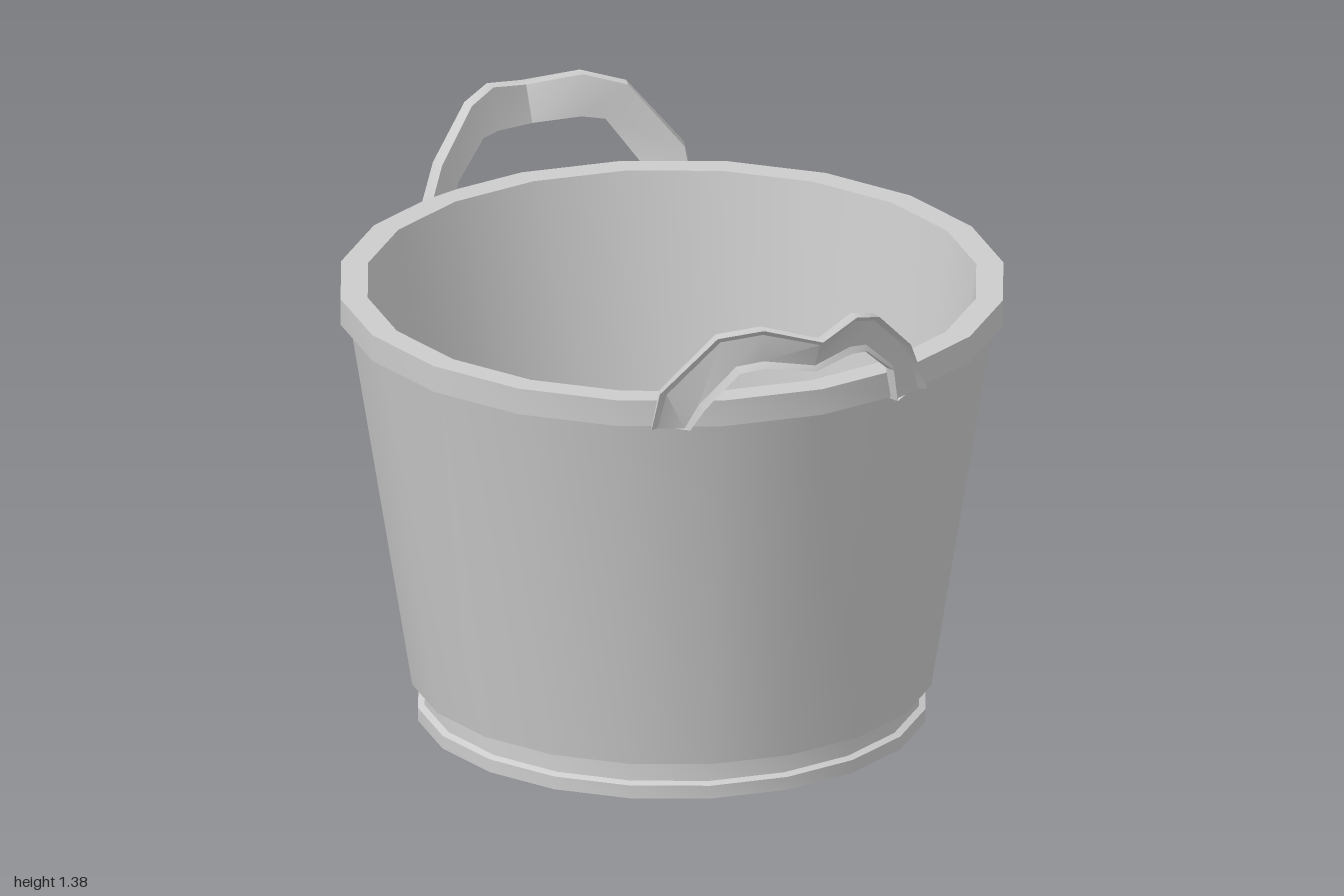
import * as THREE from 'three';
import { toCreasedNormals } from 'three/addons/utils/BufferGeometryUtils.js';

const SIDES = 20;
const material = new THREE.MeshStandardMaterial({ color: 0xcccccc, side: THREE.DoubleSide });

function lathe(name, profile) {
  const points = profile.map(([r, y]) => new THREE.Vector2(r, y));
  const mesh = new THREE.Mesh(toCreasedNormals(new THREE.LatheGeometry(points, SIDES), 0.5), material);
  mesh.name = name;
  return mesh;
}

// Strap stations from one foot to the other: [top edge, lower edge]
const STRAP = [
  [[-0.435, 1.10, 0.75], [-0.345, 1.095, 0.79]],
  [[-0.42, 1.20, 0.765], [-0.32, 1.16, 0.825]],
  [[-0.30, 1.36, 0.85], [-0.25, 1.265, 0.88]],
  [[-0.20, 1.385, 0.91], [-0.19, 1.275, 0.90]],
  [[-0.07, 1.355, 0.98], [-0.07, 1.262, 0.945]],
  [[0.05, 1.385, 0.93], [0.05, 1.275, 0.905]],
  [[0.13, 1.36, 0.895], [0.10, 1.268, 0.89]],
  [[0.25, 1.24, 0.83], [0.20, 1.18, 0.84]],
  [[0.31, 1.10, 0.80], [0.215, 1.09, 0.83]],
];

// Shallow channel section: [fraction from top to lower edge, outward offset]
const SECTION = [[0, -0.015], [0, 0.02], [0.15, 0.005], [0.85, 0.002], [1, 0.015], [1, -0.015]];

function strapGeometry() {
  const positions = [], index = [], n = SECTION.length;
  for (const [top, low] of STRAP) {
    const a = new THREE.Vector3(...top), b = new THREE.Vector3(...low);
    const out = a.clone().add(b).setY(0).normalize();
    for (const [t, d] of SECTION) {
      positions.push(...a.clone().lerp(b, t).addScaledVector(out, d).toArray());
    }
  }
  const last = (STRAP.length - 1) * n;
  for (let i = 0; i < last; i += n) {
    for (let j = 0; j < n; j++) {
      const a = i + j, b = i + (j + 1) % n;
      index.push(a, b, a + n, b, b + n, a + n);
    }
  }
  // Foot caps
  for (let j = 1; j < n - 1; j++) {
    index.push(0, j + 1, j, last, last + j, last + j + 1);
  }
  const geometry = new THREE.BufferGeometry();
  geometry.setAttribute('position', new THREE.Float32BufferAttribute(positions, 3));
  geometry.setIndex(index);
  return toCreasedNormals(geometry, 0.6);
}

export function createModel() {
  const group = new THREE.Group();
  group.name = 'basket';

  // Recessed underside, foot ring and the narrow band above it
  group.add(lathe('base', [
    [0, 0.04], [0.585, 0.04], [0.585, 0], [0.655, 0], [0.655, 0.035],
    [0.638, 0.042], [0.635, 0.1], [0.67, 0.1],
  ]));
  group.add(lathe('outerWall', [[0.67, 0.1], [0.83, 1.095]]));
  group.add(lathe('rim', [[0.83, 1.095], [0.855, 1.095], [0.855, 1.165], [0.785, 1.165]]));
  group.add(lathe('innerWallAndFloor', [[0.785, 1.165], [0.615, 0.1], [0, 0.1]]));

  // Two identical handles, half a turn apart
  const geometry = strapGeometry();
  ['frontHandle', 'backHandle'].forEach((name, i) => {
    const handle = new THREE.Mesh(geometry, material);
    handle.name = name;
    handle.rotation.y = i * Math.PI;
    group.add(handle);
  });
  return group;
}
